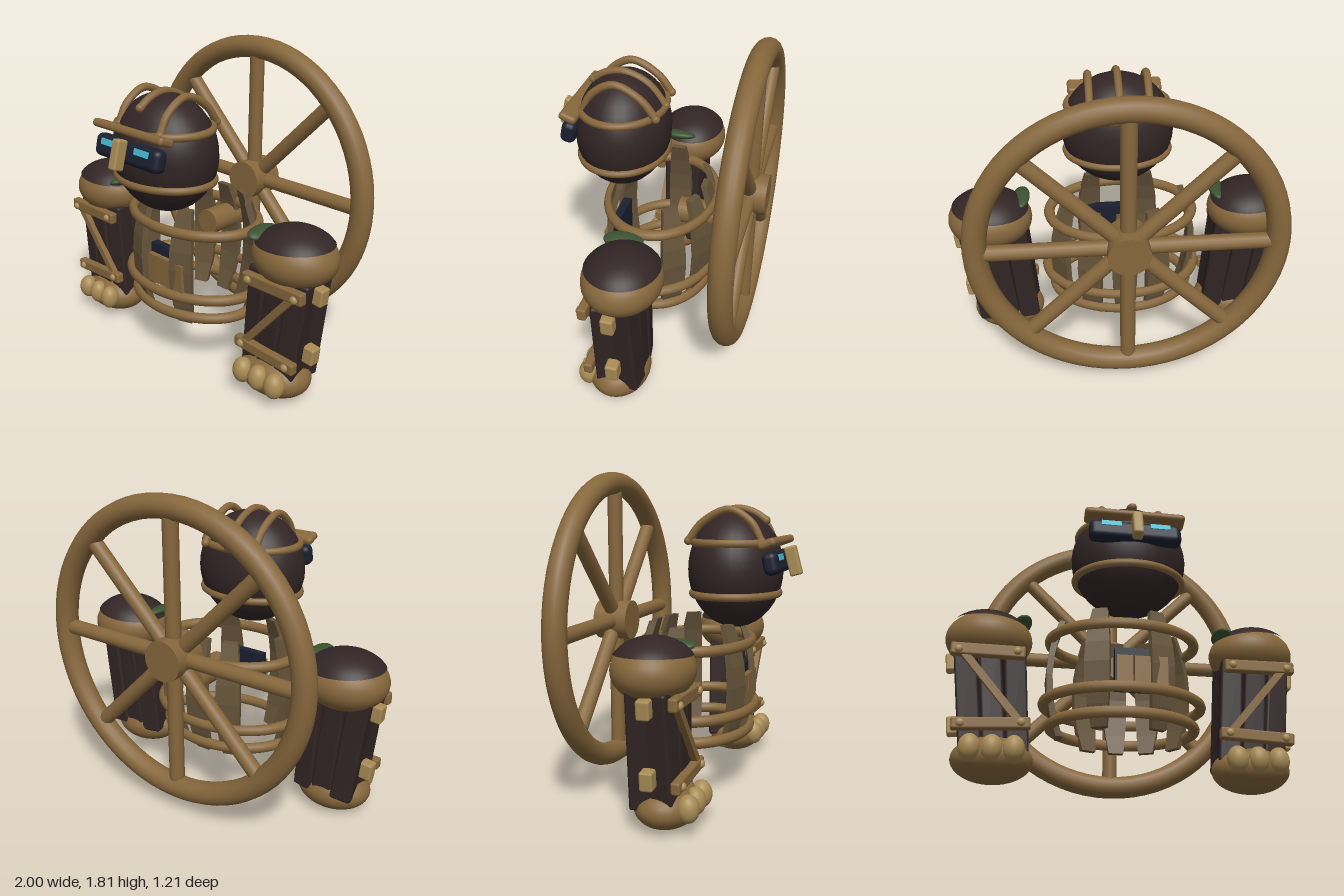
import * as THREE from 'three';
import { RoundedBoxGeometry } from 'three/addons/geometries/RoundedBoxGeometry.js';

const mat = (name, color, extra = {}) => {
  const m = new THREE.MeshStandardMaterial({ color, ...extra });
  m.name = name;
  return m;
};

export function createModel() {
  const brass = mat('bronze', 0x86673c);
  const tan = mat('lightBronze', 0xa88b54);
  const dark = mat('darkWood', 0x322525);
  const oak = mat('weatheredWood', 0x66543a, { flatShading: true });
  const navy = mat('navy', 0x1b2030);
  const cyan = mat('cyan', 0x45bdd6);
  const moss = mat('moss', 0x3a5230);

  const root = new THREE.Group();
  root.name = 'wheelGuardian';

  const add = (parent, name, geo, material, p = [0, 0, 0], r = [0, 0, 0], s = [1, 1, 1]) => {
    const m = new THREE.Mesh(geo, material);
    m.name = name;
    m.position.set(...p);
    m.rotation.set(...r);
    m.scale.set(...s);
    parent.add(m);
    return m;
  };
  const group = (name) => {
    const g = new THREE.Group();
    g.name = name;
    root.add(g);
    return g;
  };
  const ball = new THREE.SphereGeometry(1, 32, 20);
  // Horizontal elliptical hoop of round section
  const hoop = (parent, name, y, z, a, b, tube) => {
    const geo = new THREE.TorusGeometry(a, tube, 10, 56).rotateX(Math.PI / 2);
    add(parent, name, geo, brass, [0, y, z], [0, 0, 0], [1, 1, b / a]);
  };
  // Round rod between two points
  const rod = (parent, name, from, to, radius, material) => {
    const line = new THREE.LineCurve3(new THREE.Vector3(...from), new THREE.Vector3(...to));
    add(parent, name, new THREE.TubeGeometry(line, 1, radius, 14), material);
  };

  // Great wheel behind the body
  const wheel = group('wheel');
  wheel.position.set(0, 0.95, -0.505);
  add(wheel, 'rim', new THREE.TorusGeometry(0.8, 0.065, 16, 72), brass);
  add(wheel, 'hub', new THREE.CylinderGeometry(0.115, 0.115, 0.2, 28), brass, [0, 0, 0], [Math.PI / 2, 0, 0]);
  for (let i = 0; i < 8; i++) {
    const t = (i * Math.PI) / 4;
    rod(wheel, 'spoke', [0, 0, 0], [0.79 * Math.cos(t), 0.79 * Math.sin(t), 0], 0.043, brass);
  }

  // Head with hoops and crest bars
  const head = group('head');
  add(head, 'skull', ball, dark, [0, 1.27, 0.23], [0, 0, 0], [0.325, 0.33, 0.265]);
  hoop(head, 'upperHeadBand', 1.42, 0.23, 0.288, 0.238, 0.022);
  hoop(head, 'lowerHeadBand', 1.135, 0.23, 0.3, 0.243, 0.022);
  const crest = (x, pts) => {
    const curve = new THREE.CatmullRomCurve3(pts.map(([y, z]) => new THREE.Vector3(x, y, z)));
    add(head, 'crestBar', new THREE.TubeGeometry(curve, 24, 0.022, 10), brass);
    for (const [y, z] of [pts[0], pts[pts.length - 1]])
      add(head, 'crestBarEnd', ball, brass, [x, y, z], [0, 0, 0], [0.024, 0.024, 0.024]);
  };
  for (const x of [-0.165, 0.165])
    crest(x, [[1.43, 0.41], [1.53, 0.355], [1.6, 0.23], [1.53, 0.08], [1.43, 0.0]]);
  crest(0, [[1.54, 0.4], [1.585, 0.33], [1.605, 0.23], [1.55, 0.09], [1.43, -0.01]]);

  // Face: brow, visor, eyes and nose
  add(head, 'brow', new RoundedBoxGeometry(0.56, 0.045, 0.1, 3, 0.02), brass, [0, 1.422, 0.46], [-0.35, 0, 0]);
  const visor = new THREE.Group();
  visor.name = 'visor';
  visor.position.set(0, 1.315, 0.475);
  visor.rotation.x = -0.22;
  head.add(visor);
  add(visor, 'visorBar', new RoundedBoxGeometry(0.51, 0.125, 0.085, 4, 0.035), navy);
  for (const s of [-1, 1])
    add(visor, 'eye', new THREE.BoxGeometry(0.11, 0.033, 0.009), cyan, [s * 0.135, 0.024, 0.044]);
  add(head, 'nose', new RoundedBoxGeometry(0.056, 0.165, 0.068, 3, 0.012), tan, [0, 1.32, 0.556], [-0.26, 0, 0]);

  // Barrel cage body
  const body = group('body');
  hoop(body, 'topHoop', 0.85, 0.005, 0.415, 0.308, 0.031);
  hoop(body, 'middleHoop', 0.475, 0.005, 0.44, 0.328, 0.031);
  hoop(body, 'bottomHoop', 0.345, 0.005, 0.4, 0.3, 0.031);
  const stave = new THREE.BoxGeometry(0.14, 0.69, 0.035, 1, 6, 1);
  const sp = stave.attributes.position;
  for (let i = 0; i < sp.count; i++) {
    const k = (sp.getY(i) / 0.345) ** 2;
    sp.setX(i, sp.getX(i) * (1 - 0.4 * k));
    sp.setZ(i, sp.getZ(i) - 0.065 * k);
  }
  stave.computeVertexNormals();
  for (const deg of [180, 115, 65, -30, -62, -90, -117]) {
    const t = (deg * Math.PI) / 180;
    const c = Math.cos(t), s = Math.sin(t);
    add(body, 'stave', stave, oak, [0.415 * c, 0.625, 0.31 * s], [0, Math.atan2(c / 0.415, s / 0.31), 0]);
  }
  add(body, 'backAxle', new THREE.CylinderGeometry(0.075, 0.075, 0.25, 24), brass, [0, 0.76, -0.225], [Math.PI / 2, 0, 0]);
  // Chest box: dark panel faced with boards
  add(body, 'chestPanel', new THREE.BoxGeometry(0.29, 0.24, 0.05), navy, [0.065, 0.6, 0.25]);
  for (let i = 0; i < 3; i++)
    add(body, 'chestBoard', new THREE.BoxGeometry(0.086, 0.17, 0.03), brass, [-0.03 + i * 0.095, 0.58, 0.29]);

  // Arms, mirrored by side
  for (const s of [-1, 1]) {
    const arm = group(s > 0 ? 'leftArm' : 'rightArm');
    const put = (name, geo, m, p, r = [0, 0, 0], sc) =>
      add(arm, name, geo, m, [s * p[0], p[1], p[2]], [r[0], s * r[1], s * r[2]], sc);

    // Shoulder, its wooden cap and a patch of moss
    put('shoulder', ball, brass, [0.757, 0.825, 0.01], [0, 0, 0], [0.242, 0.16, 0.213]);
    put('shoulderCap', new THREE.SphereGeometry(1, 32, 10, 0, Math.PI * 2, 0, 1.12), dark,
      [0.757, 0.827, 0.01], [0, 0, 0.06], [0.244, 0.168, 0.22]);
    put('mossPatch', ball, moss, [0.577, 0.92, 0.06], [0, 0, -0.3], [0.055, 0.028, 0.11]);

    // Forearm of leaning planks
    for (let row = 0; row < 2; row++)
      for (let i = -1; i <= 1; i++) {
        const len = 0.6 + 0.04 * ((i + row + 1) % 2);
        put('forearmPlank', new RoundedBoxGeometry(0.122, len, 0.12, 2, 0.015), dark,
          [0.718 + i * 0.122, 0.45, row ? -0.03 : 0.085 + (i ? 0 : 0.012)],
          [0, i * (row ? -0.15 : 0.15), -0.1 - i * 0.025]);
      }

    // Fist and knuckles
    put('fist', ball, brass, [0.697, 0.125, 0.06], [0, 0, 0], [0.215, 0.122, 0.17]);
    for (let i = 0; i < 3; i++)
      put('knuckle', ball, tan, [0.587 + i * 0.112, 0.148, 0.205], [0, 0, 0], [0.057, 0.073, 0.057]);

    // Bracing straps with bolts
    put('upperStrap', new RoundedBoxGeometry(0.4, 0.07, 0.05, 2, 0.012), brass, [0.752, 0.695, 0.172], [0, 0, 0.01]);
    put('lowerStrap', new RoundedBoxGeometry(0.41, 0.065, 0.05, 2, 0.012), brass, [0.712, 0.288, 0.172], [0, 0, -0.05]);
    put('diagonalStrap', new THREE.BoxGeometry(0.04, 0.5, 0.035), brass, [0.722, 0.49, 0.172], [0, 0, -0.7]);
    for (const [x, y] of [[0.907, 0.69], [0.597, 0.695], [0.867, 0.28], [0.557, 0.297]])
      put('bolt', ball, tan, [x, y, 0.198], [0, 0, 0], [0.022, 0.022, 0.016]);

    // Pegs on the outer side
    put('upperPeg', new RoundedBoxGeometry(0.07, 0.1, 0.07, 2, 0.012), tan, [0.945, 0.67, 0.03], [0, 0, -0.1]);
    put('lowerPeg', new RoundedBoxGeometry(0.08, 0.1, 0.07, 2, 0.012), tan, [0.905, 0.31, 0.03], [0, 0, -0.1]);
  }
  return root;
}
